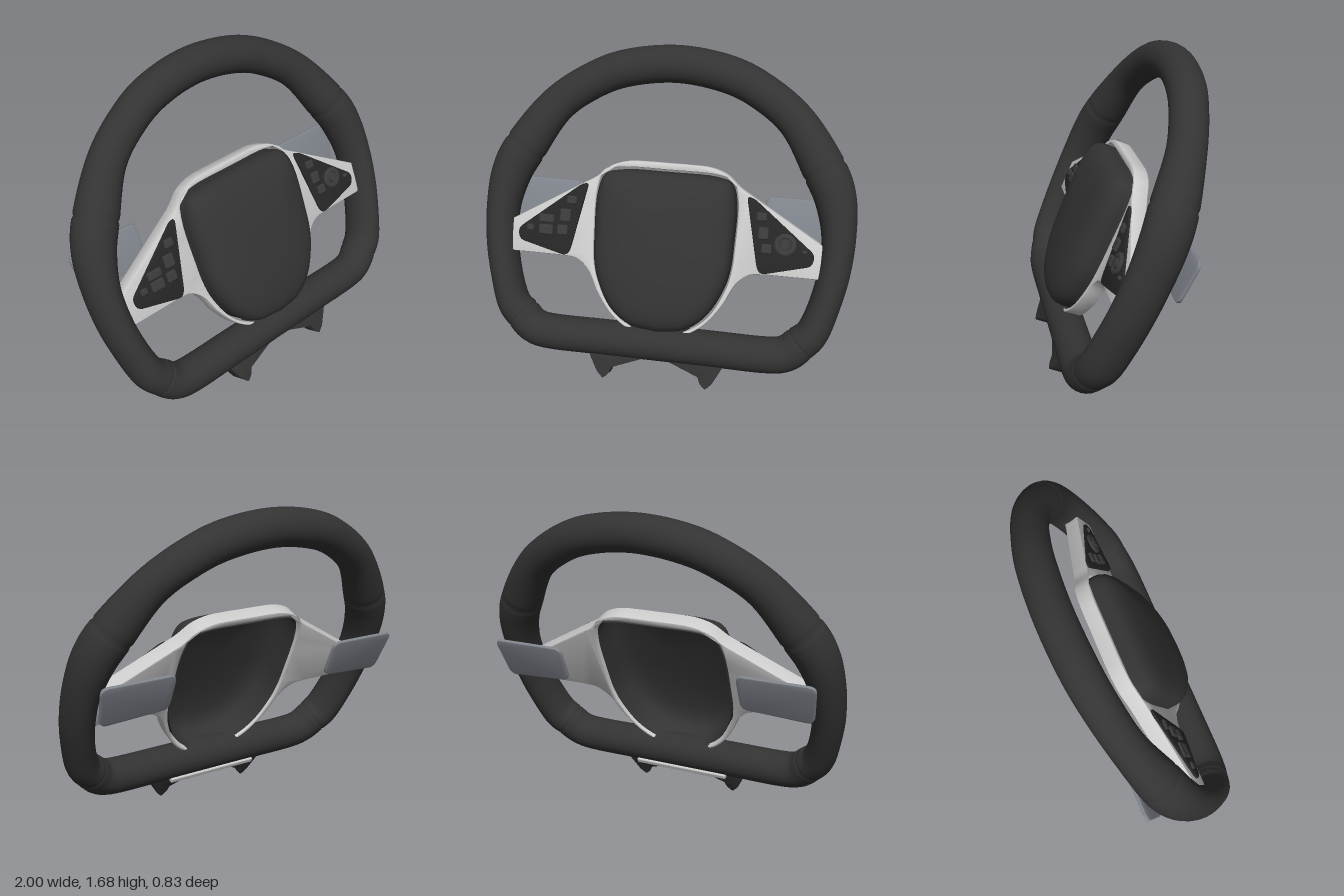
import * as THREE from 'three';
import { toCreasedNormals } from 'three/addons/utils/BufferGeometryUtils.js';
import { RoundedBoxGeometry } from 'three/addons/geometries/RoundedBoxGeometry.js';

const TILT = THREE.MathUtils.degToRad(24);
const mat = (color, side = THREE.FrontSide) => new THREE.MeshStandardMaterial({ color, side });
const black = mat(0x333333), shell = mat(0x333333, THREE.DoubleSide), panelMat = mat(0x262626);
const buttonMat = mat(0x3a3a3a), silver = mat(0xcccccc), paddleMat = mat(0x80848c);

function add(parent, name, geometry, material) {
  const mesh = new THREE.Mesh(geometry, material);
  mesh.name = name;
  parent.add(mesh);
  return mesh;
}

// Smooth open curve through [x, y] points
const smooth = (pts, n, closed = false) =>
  new THREE.CatmullRomCurve3(pts.map(([x, y]) => new THREE.Vector3(x, y, 0)), closed)
    .getPoints(n).map(p => [p.x, p.y]);

// Right half (bottom to top) plus its mirror image, as one loop
const mirrored = half => [...half, ...half.filter(([x]) => x > 1e-4).reverse().map(([x, y]) => [-x, y])];
const vec2s = pts => pts.map(([x, y]) => new THREE.Vector2(x, y));

// Polygon with rounded corners
function roundedShape(pts, r) {
  const v = vec2s(pts), s = new THREE.Shape();
  v.forEach((p, i) => {
    const prev = v[(i + v.length - 1) % v.length], next = v[(i + 1) % v.length];
    const a = p.clone().lerp(prev, Math.min(0.45, r / p.distanceTo(prev)));
    const b = p.clone().lerp(next, Math.min(0.45, r / p.distanceTo(next)));
    if (i) s.lineTo(a.x, a.y); else s.moveTo(a.x, a.y);
    s.quadraticCurveTo(p.x, p.y, b.x, b.y);
  });
  s.closePath();
  return s;
}

// Bevelled slab between two depths
function slab(shape, back, front, bevel) {
  const g = new THREE.ExtrudeGeometry(shape, {
    depth: front - back - 2 * bevel, bevelThickness: bevel, bevelSize: bevel,
    bevelOffset: -bevel, bevelSegments: 2, curveSegments: 6,
  });
  g.translate(0, 0, back + bevel);
  return toCreasedNormals(g, 0.6);
}

// Skin over loops of points; optionally joins the last loop to the first
function loft(loops, joinEnds) {
  const n = loops[0].length, m = loops.length, index = [];
  for (let i = 0; i < (joinEnds ? m : m - 1); i++) {
    for (let j = 0; j < n; j++) {
      const k = (i + 1) % m, l = (j + 1) % n;
      index.push(i * n + j, i * n + l, k * n + l, i * n + j, k * n + l, k * n + j);
    }
  }
  const g = new THREE.BufferGeometry();
  g.setAttribute('position', new THREE.Float32BufferAttribute(loops.flat(2), 3));
  g.setIndex(index);
  g.computeVertexNormals();
  return g;
}

// Rim: x, height, half width in the plane, half depth
function rimGeometry() {
  const half = [
    [0, 0, 0.097, 0.1], [0.3, 0, 0.097, 0.1], [0.58, 0, 0.097, 0.1], [0.69, 0.02, 0.097, 0.1],
    [0.76, 0.08, 0.095, 0.105], [0.82, 0.148, 0.088, 0.111], [0.868, 0.29, 0.083, 0.112],
    [0.903, 0.465, 0.085, 0.112], [0.912, 0.66, 0.09, 0.114], [0.88, 0.85, 0.108, 0.12],
    [0.81, 1.0, 0.115, 0.119], [0.655, 1.23, 0.1, 0.097], [0.47, 1.374, 0.098, 0.097],
    [0.27, 1.461, 0.1, 0.1], [0, 1.498, 0.1, 0.1],
  ];
  const knots = [...half, ...half.slice(1, -1).reverse().map(([x, ...rest]) => [-x, ...rest])];
  const curve = f => new THREE.CatmullRomCurve3(knots.map(f), true, 'catmullrom', 0.5);
  const path = curve(([x, y]) => new THREE.Vector3(x, y, 0));
  const size = curve(k => new THREE.Vector3(k[2], k[3], 0));
  const per = 12, count = knots.length * per, sides = 28;
  const seams = [4, 10, 18, 24].map(k => k * per);
  const loops = [];
  for (let i = 0; i < count; i++) {
    const c = path.getPoint(i / count), t = path.getTangent(i / count), s = size.getPoint(i / count);
    const dip = seams.includes(i) ? 0.95 : 1; // stitched seam grooves
    const loop = [];
    for (let j = 0; j < sides; j++) {
      const a = j / sides * Math.PI * 2, u = Math.cos(a) * s.x * dip;
      loop.push([c.x + t.y * u, c.y - t.x * u, -Math.sin(a) * s.y * dip]);
    }
    loops.push(loop);
  }
  return loft(loops, true);
}

export function createModel() {
  const model = new THREE.Group();
  model.name = 'steeringWheel';
  const wheel = new THREE.Group();
  wheel.name = 'tiltedWheel';
  wheel.rotation.x = -TILT;
  wheel.position.set(0, 0.225, 0.3);
  model.add(wheel);

  add(wheel, 'rim', rimGeometry(), black);

  // Centre pad: a domed shell
  const padLoop = mirrored(smooth([[0, 0.075], [0.15, 0.1], [0.26, 0.185], [0.337, 0.33], [0.362, 0.43],
    [0.37, 0.56], [0.368, 0.8], [0.335, 0.893], [0.25, 0.92], [0, 0.925]], 45));
  const scaled = s => padLoop.map(([x, y]) => [x * s, 0.5 + (y - 0.5) * s]);
  const rings = [[1, -0.02], [1, 0.075], [0.99, 0.1], [0.96, 0.127], [0.91, 0.147],
    [0.84, 0.163], [0.72, 0.179], [0.5, 0.193], [0.25, 0.199], [0.001, 0.2]];
  add(wheel, 'centrePad', loft(rings.map(([s, z]) => scaled(s).map(p => [...p, z])), false), shell);

  // Silver frame with spokes and an opening for the pad
  const frame = new THREE.Shape(vec2s(mirrored([
    ...smooth([[0, 0.035], [0.1, 0.05], [0.177, 0.079], [0.257, 0.139], [0.34, 0.25],
      [0.4, 0.365], [0.47, 0.422], [0.56, 0.432]], 36),
    [0.835, 0.432], [0.835, 0.609],
    ...smooth([[0.45, 0.836], [0.39, 0.872], [0.31, 0.938], [0.22, 0.968], [0.12, 0.973], [0, 0.973]], 24),
  ])));
  frame.holes.push(new THREE.Path(vec2s(scaled(1.03).reverse())));
  add(wheel, 'spokeFrame', slab(frame, -0.03, 0.056, 0.008), silver);

  const panel = [[0.425, 0.835], [0.465, 0.825], [0.8, 0.56], [0.79, 0.498], [0.53, 0.432], [0.505, 0.46]];
  const paddle = [[0.51, 0.61], [0.9, 0.586], [0.935, 0.83], [0.51, 0.83]];
  const clip = [[0.365, 0], [0.365, -0.09], [0.315, -0.185], [0.28, -0.219], [0.25, -0.19],
    [0.238, -0.155], [0.02, -0.07], [0.02, 0]];
  for (const [label, side] of [['left', 1], ['right', -1]]) {
    const flip = pts => pts.map(([x, y]) => [x * side, y]);
    add(wheel, label + 'ButtonPanel', slab(roundedShape(flip(panel), 0.03), 0.04, 0.068, 0.005), panelMat);
    add(wheel, label + 'ShiftPaddle', slab(roundedShape(flip(paddle), 0.045), -0.2, -0.18, 0.006), paddleMat);
    add(wheel, label + 'MountClip', slab(roundedShape(flip(clip), 0.01), -0.049, 0.038, 0.003), black);
  }

  // Buttons: x, height, width, height of cap
  const buttons = [
    [-0.51, 0.735, 0.055, 0.045], [-0.54, 0.65, 0.06, 0.07], [-0.643, 0.625, 0.085, 0.045],
    [-0.73, 0.57, 0.04, 0.035], [-0.643, 0.565, 0.08, 0.055], [-0.552, 0.57, 0.06, 0.055],
    [0.51, 0.735, 0.055, 0.045], [0.525, 0.65, 0.055, 0.065], [0.547, 0.57, 0.055, 0.05],
    [0.745, 0.57, 0.03, 0.02],
  ];
  for (const [x, y, w, h] of buttons) {
    add(wheel, 'button', new RoundedBoxGeometry(w, h, 0.03, 2, 0.009), buttonMat).position.set(x, y, 0.067);
  }

  // Round control knob
  const knob = [[0.058, 0], [0.058, 0.012], [0.05, 0.018], [0.035, 0.018], [0.032, 0.012], [0.026, 0.012],
    [0.024, 0.022], [0.001, 0.024]];
  const dial = add(wheel, 'controlKnob', toCreasedNormals(new THREE.LatheGeometry(vec2s(knob), 28), 0.6), buttonMat);
  dial.rotation.x = Math.PI / 2;
  dial.position.set(0.643, 0.6, 0.066);

  // Trim strip behind the lower bar
  add(wheel, 'rearStrip', new RoundedBoxGeometry(0.56, 0.03, 0.03, 2, 0.008), silver).position.set(0, -0.055, -0.088);

  return model;
}
